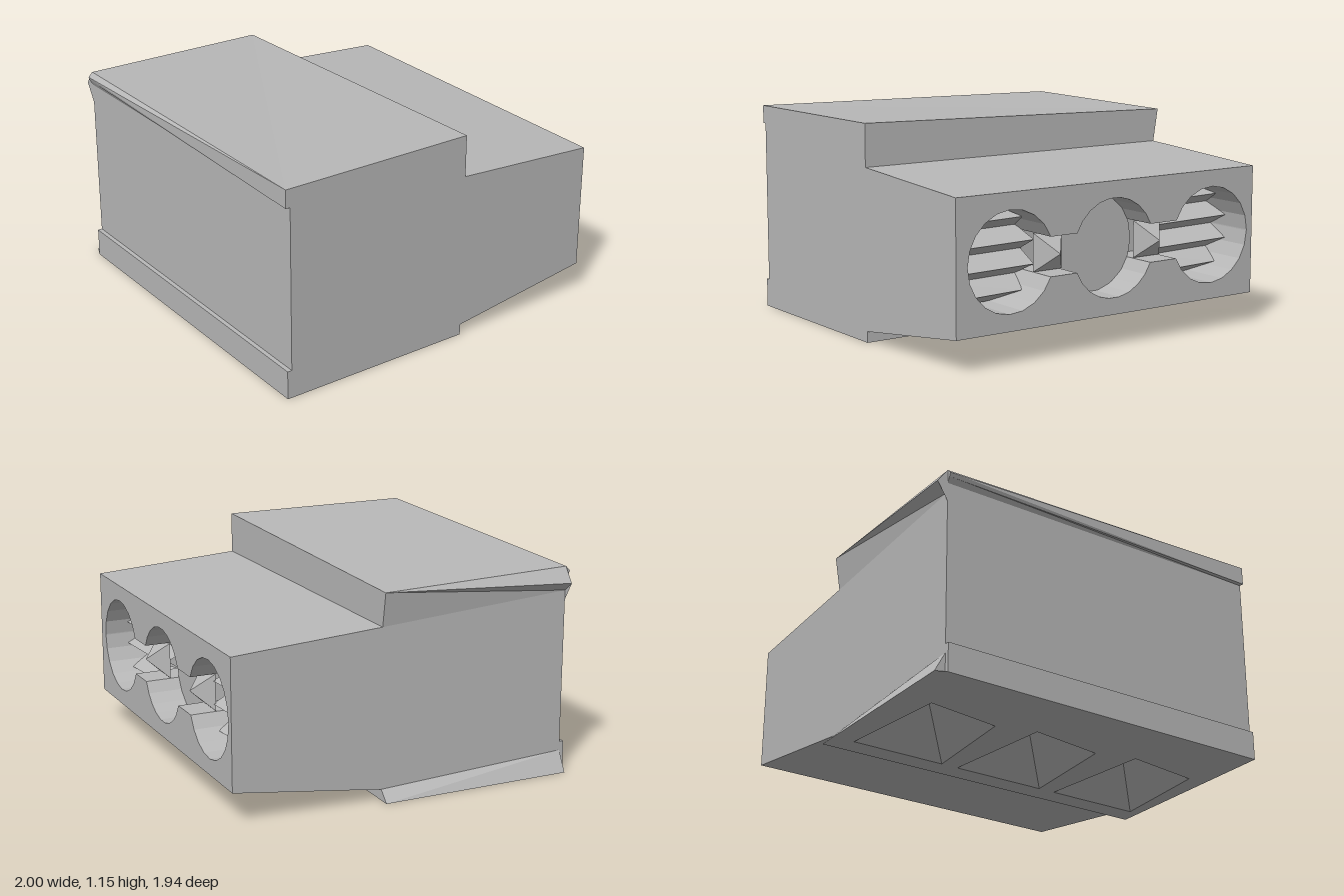
import * as THREE from 'three';

const grey = new THREE.MeshStandardMaterial({ color: 0xb8b8b8, side: THREE.DoubleSide });
grey.name = 'plain grey';

// Flat mesh from a list of convex polygons, each a list of [x, y, z] corners
function facets(name, polygons) {
  const pos = [];
  for (const p of polygons)
    for (let i = 1; i < p.length - 1; i++) pos.push(...p[0], ...p[i], ...p[i + 1]);
  const g = new THREE.BufferGeometry();
  g.setAttribute('position', new THREE.Float32BufferAttribute(pos, 3));
  g.computeVertexNormals();
  return named(name, g);
}

function named(name, geometry) {
  const m = new THREE.Mesh(geometry, grey);
  m.name = name;
  return m;
}

// Flat plate with holes, in its own xy plane
function plate(outline, holes = []) {
  const v = (pts) => pts.map(([x, y]) => new THREE.Vector2(x, y));
  const s = new THREE.Shape(v(outline));
  s.holes = holes.map((h) => new THREE.Path(v(h)));
  return new THREE.ShapeGeometry(s);
}

const L = -0.94, R = 1, BACK = -0.97, STEP = -0.14, PANEL = 0.945, FRONT = 0.97;

export function createModel() {
  const model = new THREE.Group();
  model.name = 'steppedBlock';

  // Upper surfaces and step
  model.add(facets('top', [
    [[R, 1.155, FRONT], [R, 1.155, STEP], [-0.97, 1.11, STEP], [L, 1.13, PANEL]],
    [[R, 0.926, STEP], [L, 0.926, STEP], [-0.97, 1.11, STEP], [R, 1.155, STEP]],
    [[R, 0.926, STEP], [R, 0.874, BACK], [L, 0.874, BACK], [L, 0.926, STEP]],
  ]));

  // Front panel between two lips; the upper lip is bent towards its -x end
  model.add(facets('frontPanel', [
    [[L, 0.158, PANEL], [R, 0.158, PANEL], [R, 1.055, PANEL], [L, 1.055, PANEL]],
  ]));
  model.add(facets('upperLip', [
    [[L, 1.13, PANEL], [L, 1.105, FRONT], [R, 1.155, FRONT]],
    [[L, 1.105, FRONT], [L, 1.085, 0.962], [R, 1.055, FRONT], [R, 1.155, FRONT]],
    [[L, 1.085, 0.962], [L, 1.055, PANEL], [R, 1.055, PANEL], [R, 1.055, FRONT]],
    [[L, 1.055, PANEL], [L, 1.085, 0.962], [L, 1.105, FRONT], [L, 1.13, PANEL]],
  ]));
  model.add(facets('lowerLip', [
    [[L, 0, FRONT], [R, 0, FRONT], [R, 0.158, FRONT], [L, 0.158, FRONT]],
    [[L, 0.158, FRONT], [R, 0.158, FRONT], [R, 0.158, PANEL], [L, 0.158, PANEL]],
    [[L, 0, PANEL], [L, 0, FRONT], [L, 0.158, FRONT], [L, 0.158, PANEL]],
  ]));

  // Flat +x side
  const side = plate([
    [-FRONT, 0], [-STEP, 0], [-STEP, 0.06], [-BACK, 0.174], [-BACK, 0.874], [-STEP, 0.926],
    [-STEP, 1.155], [-FRONT, 1.155], [-FRONT, 1.055], [-PANEL, 1.055], [-PANEL, 0.158], [-FRONT, 0.158],
  ]);
  model.add(named('leftSide', side.rotateY(Math.PI / 2).translate(R, 0, 0)));

  // -x side with its flared upper and lower edges
  const tip = [-1, 1.05, PANEL], crest = [-0.97, 1.11, STEP];
  model.add(facets('rightSide', [
    [[L, 0.174, BACK], [L, 0.06, STEP], [L, 0.11, PANEL], [L, 1.0, PANEL], [L, 0.926, STEP], [L, 0.874, BACK]],
  ]));
  model.add(facets('upperFlare', [
    [crest, tip, [L, 1.13, PANEL]],
    [crest, [L, 0.926, STEP], [L, 1.0, PANEL], tip],
    [tip, [L, 0.95, PANEL], [L, 1.13, PANEL]],
  ]));
  model.add(facets('lowerFlare', [
    [[-1, 0, STEP], [-1, 0, PANEL], [L, 0.11, PANEL], [L, 0.06, STEP]],
    [[-1, 0, PANEL], [L, 0, PANEL], [L, 0.11, PANEL]],
    [[-1, 0, STEP], [L, 0.06, STEP], [L, 0, STEP]],
  ]));

  // Underside: sloped rear, small step and base with three pyramid pits
  model.add(facets('rearUnderside', [
    [[R, 0.06, STEP], [L, 0.06, STEP], [L, 0.174, BACK], [R, 0.174, BACK]],
    [[R, 0, STEP], [L, 0, STEP], [L, 0.06, STEP], [R, 0.06, STEP]],
  ]));
  const pits = [0.67, 0.03, -0.61].map((x) => [
    [x - 0.27, -0.02], [x + 0.27, -0.02], [x + 0.22, 0.56], [x - 0.2, 0.62],
  ]);
  const base = plate([[-1, STEP], [R, STEP], [R, FRONT], [L, FRONT], [-1, PANEL]], pits);
  model.add(named('base', base.rotateX(Math.PI / 2)));
  for (const pit of pits) {
    const apex = [(pit[0][0] + pit[1][0]) / 2, 0.25, 0.25];
    model.add(facets('basePit', pit.map(([x, z], i) => {
      const [nx, nz] = pit[(i + 1) % 4];
      return [[x, 0, z], apex, [nx, 0, nz]];
    })));
  }

  // Outline of three round sockets joined by narrow necks
  const centres = [-0.64, 0.02, 0.67], r = 0.262, cy = 0.524, neck = 0.4, n = 9;
  const opening = [];
  const arc = (c, from, to) => {
    for (let i = 0; i <= n; i++) {
      const a = from + (to - from) * i / n;
      opening.push([c + r * Math.cos(a), cy + r * Math.sin(a)]);
    }
  };
  arc(centres[0], Math.PI * 2 - neck, Math.PI * 1 + 0.01);
  arc(centres[0], Math.PI - 0.01, neck);
  arc(centres[1], Math.PI - neck, neck);
  arc(centres[2], Math.PI - neck, 0.01);
  arc(centres[2], -0.01, -Math.PI + neck);
  arc(centres[1], -neck, -Math.PI + neck);

  // Back plate, socket walls and floor
  const flip = ([x, y]) => [-x, y];
  const backPlate = plate([[L, 0.174], [R, 0.174], [R, 0.874], [L, 0.874]].map(flip), [opening.map(flip)]);
  model.add(named('back', backPlate.rotateY(Math.PI).translate(0, 0, BACK)));
  const floorZ = BACK + 0.3;
  model.add(facets('socketWalls', opening.map(([x, y], i) => {
    const [nx, ny] = opening[(i + 1) % opening.length];
    return [[x, y, BACK], [x, y, floorZ], [nx, ny, floorZ], [nx, ny, BACK]];
  })));
  model.add(named('socketFloor', plate(opening.map(flip)).rotateY(Math.PI).translate(0, 0, floorZ)));

  // Ridged slats inside the two outer sockets
  const rows = 8;
  for (const c of [centres[0], centres[2]]) {
    const row = (j) => {
      const y = r * 0.96 * (2 * j / rows - 1), w = Math.sqrt(r * r - y * y);
      const z = BACK + (j % 2 ? 0.13 : 0.26);
      return [[c - w, cy + y, z + 0.03], [c + w, cy + y, z]];
    };
    const strips = [];
    for (let j = 0; j < rows; j++) strips.push([...row(j), ...row(j + 1).reverse()]);
    model.add(facets('socketSlats', strips));
  }

  // Flat disc in the middle socket
  const disc = new THREE.CircleGeometry(r, 18).rotateY(Math.PI);
  model.add(named('middleSocketFloor', disc.translate(centres[1], cy, BACK + 0.19)));

  // Angular wedges in the necks
  for (const x of [-0.31, 0.345])
    model.add(facets('neckWedge', [
      [[x - 0.09, cy - 0.1, BACK + 0.14], [x, cy, BACK + 0.03], [x - 0.09, cy + 0.1, BACK + 0.14]],
      [[x + 0.09, cy + 0.1, BACK + 0.14], [x, cy, BACK + 0.03], [x + 0.09, cy - 0.1, BACK + 0.14]],
      [[x - 0.09, cy + 0.1, BACK + 0.14], [x, cy, BACK + 0.03], [x + 0.09, cy + 0.1, BACK + 0.14]],
      [[x + 0.09, cy - 0.1, BACK + 0.14], [x, cy, BACK + 0.03], [x - 0.09, cy - 0.1, BACK + 0.14]],
    ]));

  return model;
}
